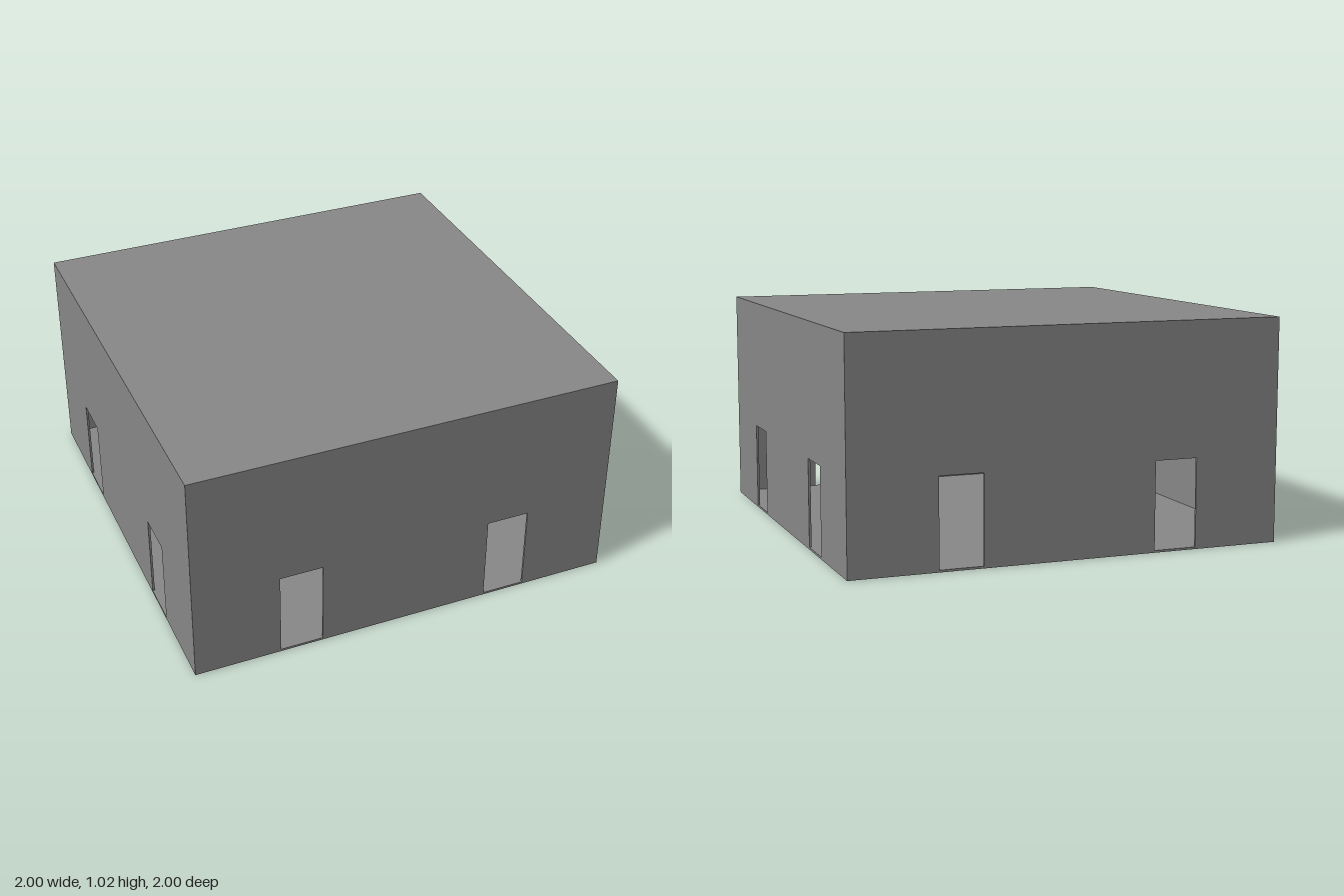
import * as THREE from 'three';

const T = 0.01;              // slab and wall thickness
const WALL_H = 1.0;
const DOOR = { w: 0.2, h: 0.4, x: 0.5 };
const material = new THREE.MeshStandardMaterial({ color: 0x888888 });

// Wall outline with two doorways cut up from its bottom edge
function wallGeometry(width) {
  const shape = new THREE.Shape();
  shape.moveTo(-width / 2, 0);
  for (const x of [-DOOR.x, DOOR.x]) {
    shape.lineTo(x - DOOR.w / 2, 0);
    shape.lineTo(x - DOOR.w / 2, DOOR.h);
    shape.lineTo(x + DOOR.w / 2, DOOR.h);
    shape.lineTo(x + DOOR.w / 2, 0);
  }
  shape.lineTo(width / 2, 0);
  shape.lineTo(width / 2, WALL_H);
  shape.lineTo(-width / 2, WALL_H);
  shape.closePath();
  const geometry = new THREE.ExtrudeGeometry(shape, { depth: T, bevelEnabled: false });
  // outer face lies 1 unit from the centre
  return geometry.translate(0, T, 1 - T);
}

export function createModel() {
  const group = new THREE.Group();
  group.name = 'building';
  const add = (name, geometry) => {
    const mesh = new THREE.Mesh(geometry, material);
    mesh.name = name;
    group.add(mesh);
    return mesh;
  };

  // Floor and flat roof
  const slab = new THREE.BoxGeometry(2, T, 2);
  add('floor', slab).position.y = T / 2;
  add('roof', slab).position.y = T + WALL_H + T / 2;

  // Four walls; the side walls fit between the front and back ones
  const names = ['frontWall', 'leftWall', 'backWall', 'rightWall'];
  names.forEach((name, i) => {
    add(name, wallGeometry(i % 2 ? 2 - 2 * T : 2)).rotation.y = i * Math.PI / 2;
  });
  return group;
}
